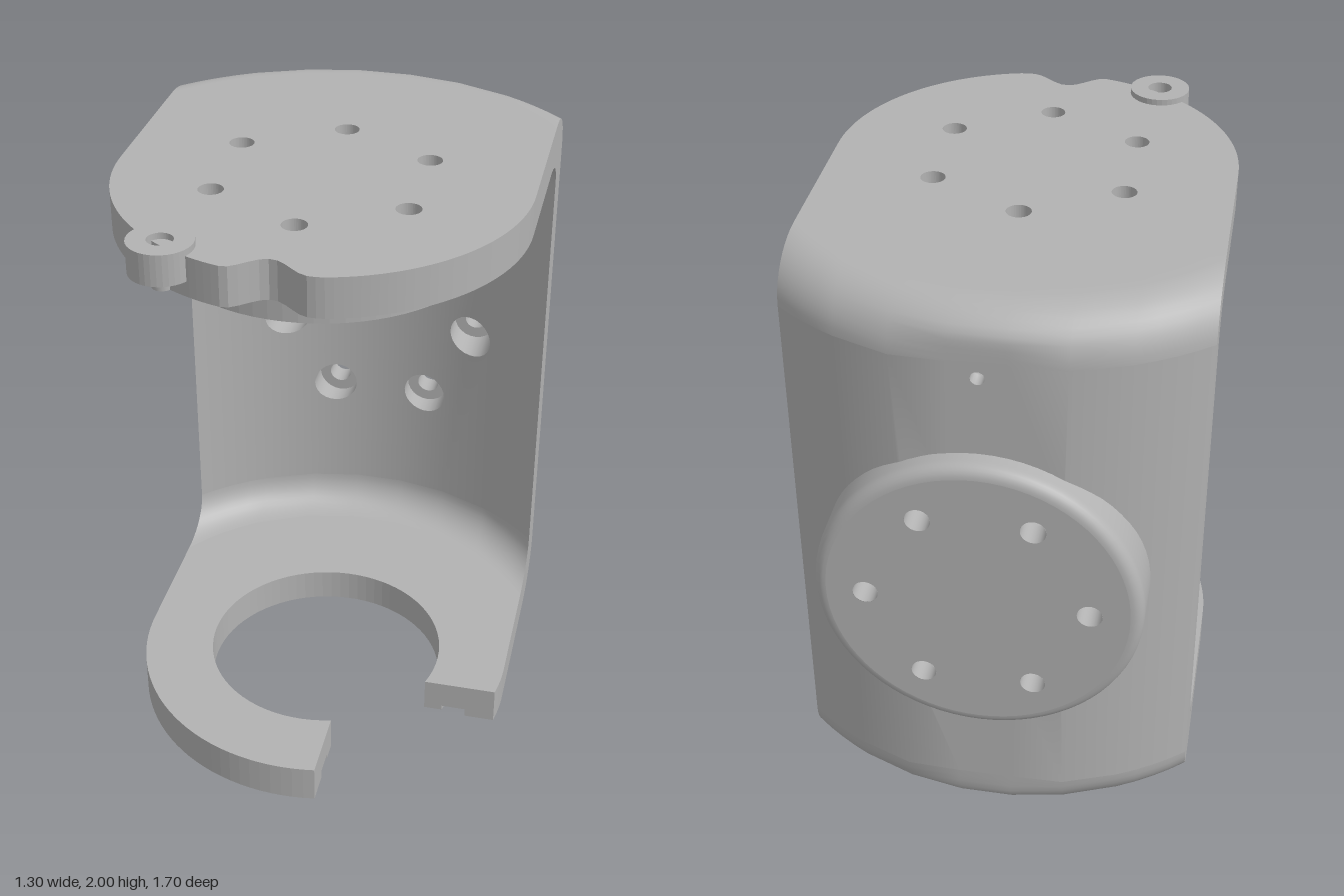
import * as THREE from 'three';

const AX = 0.2;            // z of the vertical axis the curved wall is swept around
const H = 1.98;            // bracket height
const HALF = 0.65;         // half width
const BACK = -0.77;        // flat on the back of the wall
const PAD = { x: 0.01, y: 0.99 };

// z of the wall at radius R and position x
const wallZ = (R, x) => Math.max(BACK, AX - Math.sqrt(R * R - x * x));

// columns across the wall; the five middle strips are centred on the bolt holes
const xs = [-0.65, -0.6, -0.55, -0.49, -0.4275, -0.2525, -0.0775, 0.0975, 0.2725, 0.4475, 0.5, 0.55, 0.6, 0.65];

const ringHoles = [];
for (let i = 0; i < 6; i++) {
  const a = i * Math.PI / 3;
  ringHoles.push([PAD.x + 0.35 * Math.cos(a), PAD.y + 0.305 / 0.866 * Math.sin(a)]);
}

function circleHole(x, y, r) {
  const p = new THREE.Path();
  p.absarc(x, y, r, 0, Math.PI * 2, true);
  return p;
}

// fillet profiles [R, y] for the lower corner; the upper corner mirrors them
const innerFillet = [], outerFillet = [[0.78, 0]];
for (let k = 0; k <= 10; k++) {
  const a = k / 10 * Math.PI / 2;
  innerFillet.push([0.78 + 0.12 * Math.sin(a), 0.13 + 0.12 * (1 - Math.cos(a))]);
  outerFillet.push([0.84 + 0.16 * Math.sin(a), 0.16 * (1 - Math.cos(a))]);
}
const flip = profile => profile.map(([R, y]) => [R, H - y]);

// sweep a profile across the columns
function sweep(profile) {
  const pos = [], idx = [], n = xs.length;
  for (const [R, y] of profile) for (const x of xs) pos.push(x, y, wallZ(R, x));
  for (let j = 0; j < profile.length - 1; j++) for (let i = 0; i < n - 1; i++) {
    const a = j * n + i;
    idx.push(a, a + 1, a + n, a + 1, a + n + 1, a + n);
  }
  const g = new THREE.BufferGeometry();
  g.setAttribute('position', new THREE.Float32BufferAttribute(pos, 3));
  g.setIndex(idx);
  g.computeVertexNormals();
  return g;
}

// one vertical strip of the wall, bent to radius R, with holes [x, y, r]
function strip(x0, x1, y0, y1, R, holes) {
  const s = new THREE.Shape([[x0, y0], [x1, y0], [x1, y1], [x0, y1]].map(p => new THREE.Vector2(...p)));
  for (const [x, y, r] of holes) if (x > x0 && x < x1) s.holes.push(circleHole(x, y, r));
  const g = new THREE.ShapeGeometry(s, 12), p = g.attributes.position, nrm = g.attributes.normal;
  const v = new THREE.Vector3();
  for (let i = 0; i < p.count; i++) {
    const x = p.getX(i), z = wallZ(R, x);
    p.setZ(i, z);
    v.set(z <= BACK ? 0 : -x, 0, AX - z).normalize();
    nrm.setXYZ(i, v.x, v.y, v.z);
  }
  return g;
}

// plan points are (x, z); extruded upward from y0 to y1
function plate(pts, holes, y0, y1) {
  const s = new THREE.Shape(pts.map(([x, z]) => new THREE.Vector2(x, -z)));
  for (const [x, z, r] of holes) s.holes.push(circleHole(x, -z, r));
  const g = new THREE.ExtrudeGeometry(s, { depth: y1 - y0, bevelEnabled: false, curveSegments: 24 });
  g.rotateX(-Math.PI / 2);
  g.translate(0, y0, 0);
  return g;
}

function arc(r, a0, a1, n) {
  const pts = [];
  for (let i = 0; i <= n; i++) {
    const a = a0 + (a1 - a0) * i / n;
    pts.push([r * Math.cos(a), AX + r * Math.sin(a)]);
  }
  return pts;
}

// tube along z from lathe points [radius, depth behind z = 0]
function zLathe(points, segments) {
  const g = new THREE.LatheGeometry(points.map(p => new THREE.Vector2(...p)), segments);
  g.rotateX(-Math.PI / 2);
  return g;
}

export function createModel() {
  const group = new THREE.Group();
  const grey = new THREE.MeshStandardMaterial({ color: 0xb2b2b2, side: THREE.DoubleSide });
  grey.name = 'grey';
  const add = (name, geo, x = 0, y = 0, z = 0) => {
    const m = new THREE.Mesh(geo, grey);
    m.name = name;
    m.position.set(x, y, z);
    group.add(m);
    return m;
  };

  // curved wall with bolt holes
  const bores = ringHoles.map(([x, y]) => [x, y, 0.08]);
  for (let i = 0; i < xs.length - 1; i++) {
    add('wallInside', strip(xs[i], xs[i + 1], 0.25, H - 0.25, 0.9, bores));
    add('wallOutside', strip(xs[i], xs[i + 1], 0.16, H - 0.16, 1, [...bores, [PAD.x, 1.77, 0.022]]));
  }
  for (const [name, profile] of [['innerCorner', innerFillet], ['outerCorner', outerFillet]]) {
    add(name + 'Bottom', sweep(profile));
    add(name + 'Top', sweep(flip(profile)));
  }
  add('pinHole', zLathe([[0.022, 0.77], [0.022, 0.72], [0, 0.72]], 16), PAD.x, 1.77);

  // flat side edges of the wall
  const section = [...innerFillet, ...flip(innerFillet).reverse(), ...flip(outerFillet), ...outerFillet.slice().reverse()]
    .map(([R, y]) => new THREE.Vector2(wallZ(R, HALF), y));
  for (const side of [-1, 1]) {
    const g = new THREE.ShapeGeometry(new THREE.Shape(section));
    g.rotateY(-Math.PI / 2);
    add('wallSide', g, side * HALF);
  }

  // top plate with a shallow front notch and six holes
  const backEdge = xs.map(x => [x, wallZ(0.78, x)]);
  const front = arc(HALF, 0, Math.PI, 80).map(([x, z]) => {
    const d = Math.abs(x + 0.02) / 0.13;
    return [x, Math.min(z, 0.835) - (d < 1 ? 0.0375 * (1 + Math.cos(Math.PI * d)) : 0)];
  });
  const topHoles = [];
  for (let i = 0; i < 6; i++) {
    const a = Math.PI / 6 + i * Math.PI / 3;
    topHoles.push([-0.007 + 0.35 * Math.cos(a), 0.19 + 0.35 * Math.sin(a), 0.04]);
  }
  add('topPlate', plate([...backEdge, ...front], topHoles, H - 0.13, H));
  add('topDisc', plate(arc(0.52, 0, Math.PI * 2, 72).slice(0, -1), topHoles, 1.76, H - 0.13));

  // small lug on the front edge
  add('lug', plate(arc(0.1, 0, Math.PI * 2, 36).slice(0, -1), [[0, AX, 0.04]], 1.9, 2), -0.345, 0, 0.75 - AX);
  add('lugPin', new THREE.CylinderGeometry(0.033, 0.033, 0.06, 20), -0.345, 1.88, 0.75);

  // bottom plate: open ring with a square-cut gap, recessed from below
  const openRing = (r, outer, back) => [
    ...back,
    ...arc(outer, 0, Math.asin(0.13 / outer), 6),
    ...arc(r, Math.asin(0.13 / r), Math.acos(0.11 / r) - Math.PI * 2, 64),
    ...arc(outer, Math.acos(0.11 / outer), Math.PI, 30),
  ];
  add('bottomRing', plate(openRing(0.41, HALF, backEdge), [], 0.03, 0.13));
  add('bottomRim', plate(openRing(0.55, HALF, backEdge), [], 0, 0.03));
  add('bottomStep', plate(openRing(0.41, 0.47, arc(0.47, Math.PI, Math.PI * 2, 48).slice(1, -1)), [], 0.012, 0.03));

  // round pad on the back, its inner end buried in the wall
  const edge = [[0.515, 0.6], [0.515, 0.8]];
  for (let i = 0; i <= 6; i++) {
    const a = i / 6 * Math.PI / 2;
    edge.push([0.475 + 0.04 * Math.cos(a), 0.81 + 0.04 * Math.sin(a)]);
  }
  const rim = zLathe(edge, 72), rp = rim.attributes.position;
  for (let i = 0; i < rp.count; i++) {
    if (rp.getZ(i) > -0.61) rp.setZ(i, wallZ(0.95, rp.getX(i) + PAD.x));
  }
  add('padRim', rim, PAD.x, PAD.y);
  const face = new THREE.Shape();
  face.absarc(0, 0, 0.475, 0, Math.PI * 2, false);
  for (const [x, y] of ringHoles) face.holes.push(circleHole(x - PAD.x, y - PAD.y, 0.04));
  const faceGeo = new THREE.ShapeGeometry(face, 36);
  faceGeo.rotateY(Math.PI);
  add('padFace', faceGeo, PAD.x, PAD.y, -0.85);

  // counterbored bolt holes through wall and pad
  for (const [x, y] of ringHoles) {
    const bore = zLathe([[0.08, 0.5], [0.08, 0.765]], 24), p = bore.attributes.position;
    for (let i = 0; i < p.count; i++) {
      if (p.getZ(i) > -0.51) p.setZ(i, wallZ(0.9, p.getX(i) + x));
    }
    add('counterbore', bore, x, y);
    add('counterboreSeat', new THREE.RingGeometry(0.04, 0.08, 24), x, y, -0.765);
    add('boltHole', zLathe([[0.04, 0.765], [0.04, 0.85]], 24), x, y);
  }
  return group;
}
